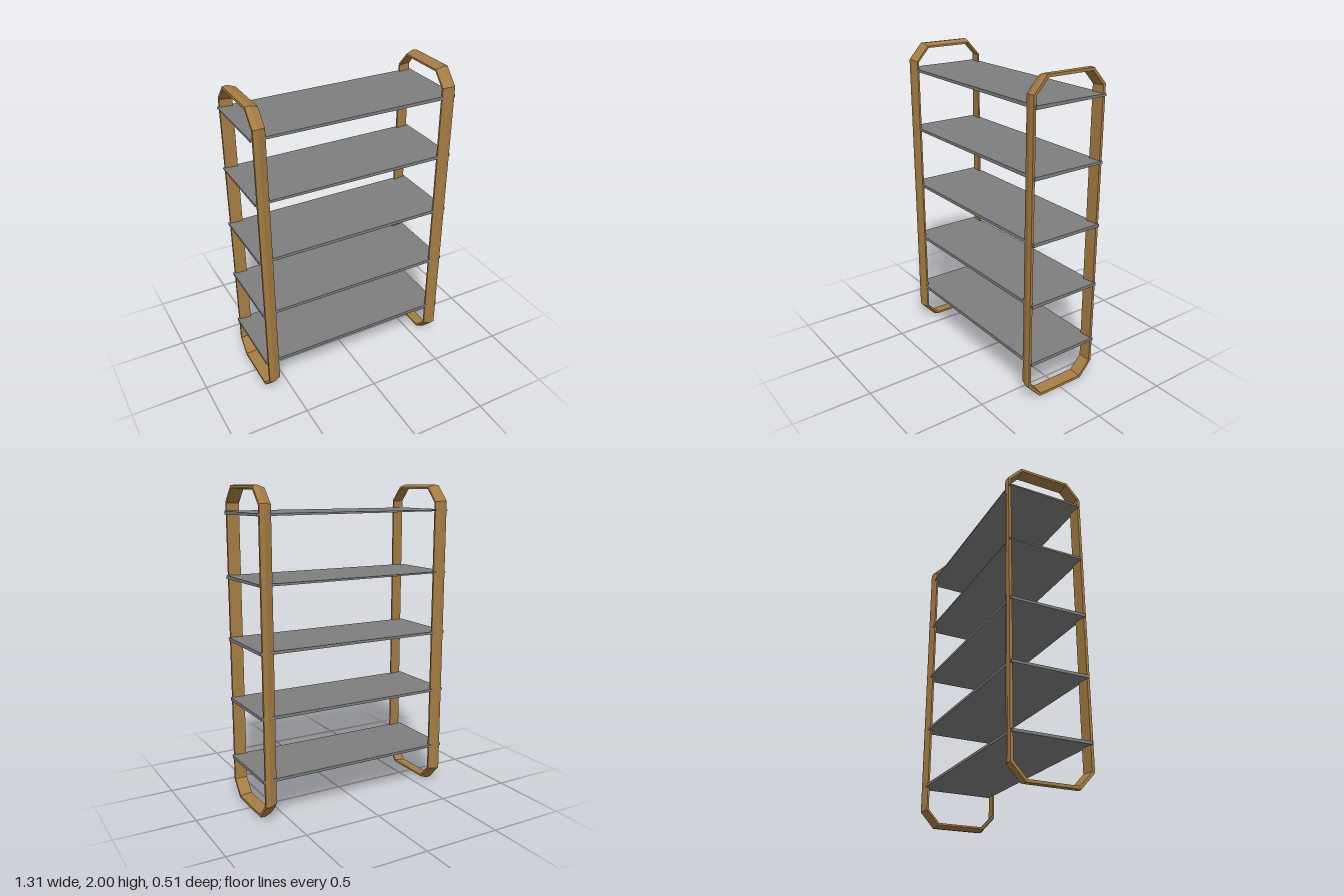
import * as THREE from 'three';

const wood = new THREE.MeshStandardMaterial({ color: 0xa57c43 });
wood.name = 'wood';
const grey = new THREE.MeshStandardMaterial({ color: 0x7e7e7e });
grey.name = 'shelfGrey';

// Octagonal loop seen from the side (z, y), inset evenly by d
function octagon(d) {
  const z = 0.257 - d, c = 0.165 - d * 0.42, lo = d, hi = 2 - d, k = 0.1 + d * 0.4;
  return [[c, lo], [z, k], [z, 2 - k], [c, hi], [-c, hi], [-z, 2 - k], [-z, k], [-c, lo]];
}

// Band section as [x, inset], slightly crowned and leaning inward
const section = [[0.645, 0.003], [0.615, 0], [0.568, 0.016], [0.568, 0.028], [0.645, 0.02]];

function frameGeometry(side) {
  const rings = section.map(([x, d]) => octagon(d).map(([z, y]) => [side * x, y, z]));
  const pos = [];
  const tri = (a, b, c) => pos.push(...a, ...(side > 0 ? [...b, ...c] : [...c, ...b]));
  for (let i = 0; i < rings.length; i++) {
    const a = rings[i], b = rings[(i + 1) % rings.length];
    for (let j = 0; j < 8; j++) {
      const k = (j + 1) % 8;
      tri(a[j], a[k], b[k]);
      tri(a[j], b[k], b[j]);
    }
  }
  const g = new THREE.BufferGeometry();
  g.setAttribute('position', new THREE.Float32BufferAttribute(pos, 3));
  g.computeVertexNormals();
  return g;
}

// Thin board whose underside tapers towards the back right corner
function shelfGeometry(thin) {
  const g = new THREE.BoxGeometry(1.314, 0.02, 0.495).toNonIndexed();
  const p = g.attributes.position;
  for (let i = 0; i < p.count; i++) {
    if (p.getY(i) > 0) continue;
    const away = (p.getX(i) < 0 ? 0.5 : 0) + (p.getZ(i) < 0 ? 0.5 : 0);
    p.setY(i, -0.012 + away * thin);
  }
  g.computeVertexNormals();
  return g;
}

export function createModel() {
  const model = new THREE.Group();
  model.name = 'shelfUnit';

  // Looped end frames
  for (const side of [1, -1]) {
    const frame = new THREE.Mesh(frameGeometry(side), wood);
    frame.name = side > 0 ? 'leftFrame' : 'rightFrame';
    model.add(frame);
  }

  // Five shelves, evenly spaced
  for (let i = 0; i < 5; i++) {
    const shelf = new THREE.Mesh(shelfGeometry(i < 3 ? 0.006 : 0.014), grey);
    shelf.name = 'shelf' + (i + 1);
    shelf.position.set(0, 0.265 + i * 0.3925, -0.003);
    model.add(shelf);
  }
  return model;
}
